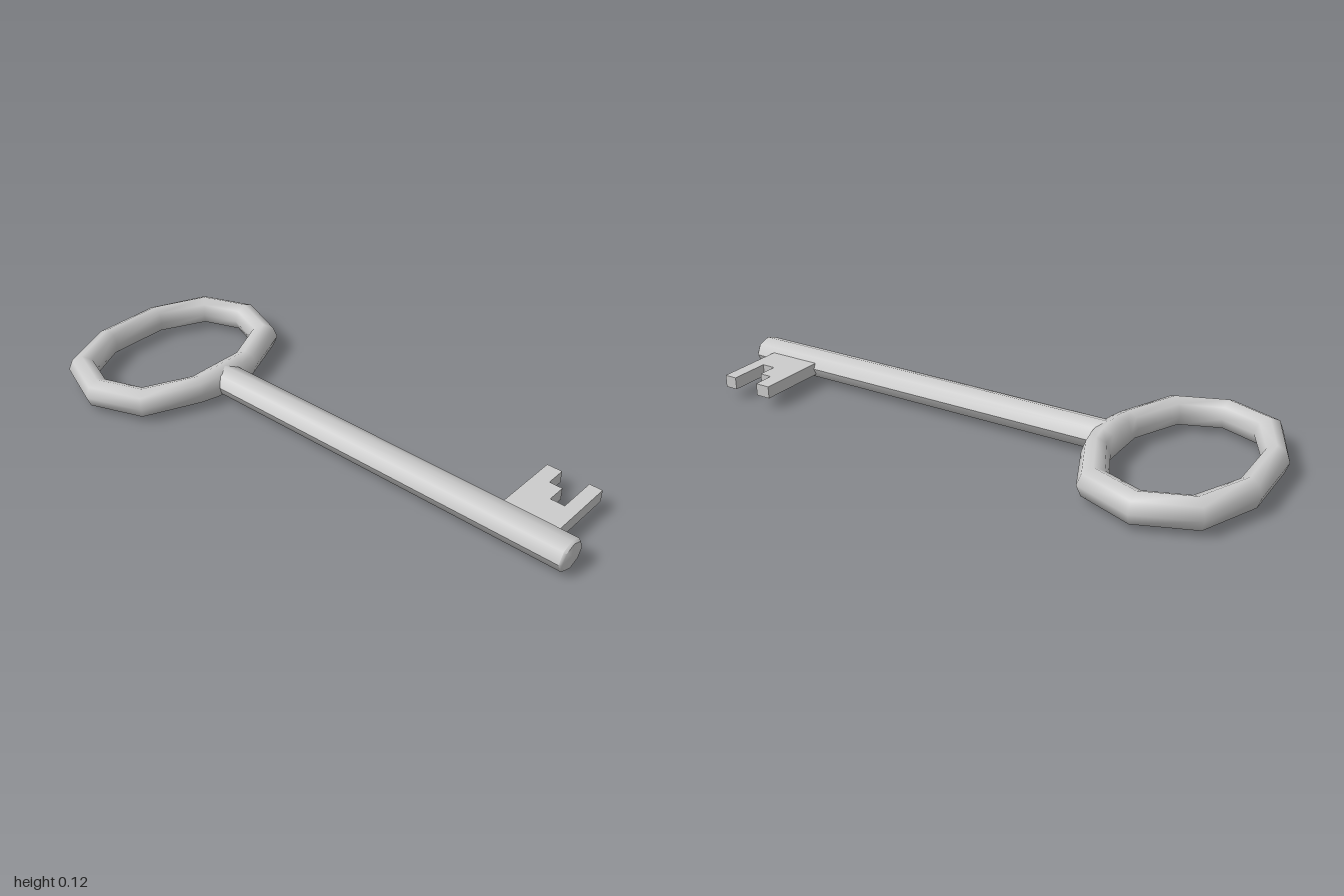
import * as THREE from 'three';
import { toCreasedNormals } from 'three/addons/utils/BufferGeometryUtils.js';

const MID = 0.06; // height of the key's centre plane

// Closed tube swept through stations [x, innerZ/outerZ centre, half width, half height]
function sweptLoop(stations, sides) {
  const n = stations.length, pos = [], index = [];
  stations.forEach(([x, z, w, h], i) => {
    const a = stations[(i + n - 1) % n], b = stations[(i + 1) % n];
    const t = new THREE.Vector2(b[0] - a[0], b[1] - a[1]).normalize();
    for (let j = 0; j < sides; j++) {
      const k = (j / sides) * Math.PI * 2, r = Math.cos(k) * w;
      pos.push(x + t.y * r, MID + Math.sin(k) * h, z - t.x * r);
      const p = i * sides + j, q = i * sides + (j + 1) % sides;
      const p2 = ((i + 1) % n) * sides + j, q2 = ((i + 1) % n) * sides + (j + 1) % sides;
      index.push(p, q, p2, q, q2, p2);
    }
  });
  const g = new THREE.BufferGeometry();
  g.setAttribute('position', new THREE.Float32BufferAttribute(pos, 3));
  g.setIndex(index);
  g.computeVertexNormals();
  return g;
}

export function createModel() {
  const key = new THREE.Group();
  key.name = 'key';
  const material = new THREE.MeshStandardMaterial({ color: 0xcccccc, side: THREE.DoubleSide });
  const add = (name, geometry) => {
    const mesh = new THREE.Mesh(geometry, material);
    mesh.name = name;
    key.add(mesh);
    return mesh;
  };

  // Faceted oval bow, thickened where it meets the shaft
  const half = [
    [0.06, -0.454, 0.05, 0.058],
    [0.12, -0.462, 0.046, 0.053],
    [0.305, -0.545, 0.052, 0.053],
    [0.368, -0.71, 0.052, 0.053],
    [0.305, -0.873, 0.052, 0.053],
    [0.12, -0.957, 0.044, 0.053],
  ];
  const mirrored = half.map(([x, ...rest]) => [-x, ...rest]).reverse();
  add('bow', sweptLoop([[0, -0.452, 0.05, 0.06], ...half, ...mirrored], 8));

  // Eight-sided shaft with a small bevel at the tip
  const profile = [[0.06, -0.45], [0.06, 0.992], [0.053, 1], [0, 1]]
    .map(([r, y]) => new THREE.Vector2(r, y));
  const shaft = new THREE.LatheGeometry(profile, 8);
  shaft.rotateX(Math.PI / 2);
  shaft.scale(1.03, 0.86, 1);
  add('shaft', toCreasedNormals(shaft, 0.9)).position.set(-0.002, MID + 0.002, 0);

  // Notched bit: outline in x and z, extruded upward
  const outline = [
    [0, 0.72], [0.305, 0.72], [0.305, 0.775], [0.23, 0.775], [0.23, 0.822],
    [0.16, 0.822], [0.16, 0.873], [0.305, 0.873], [0.305, 0.92], [0, 0.92],
  ].map(([x, z]) => new THREE.Vector2(x, -z));
  const bit = new THREE.ExtrudeGeometry(new THREE.Shape(outline), { depth: 0.044, bevelEnabled: false });
  bit.rotateX(-Math.PI / 2);
  add('bit', bit).position.y = 0.038;

  return key;
}
